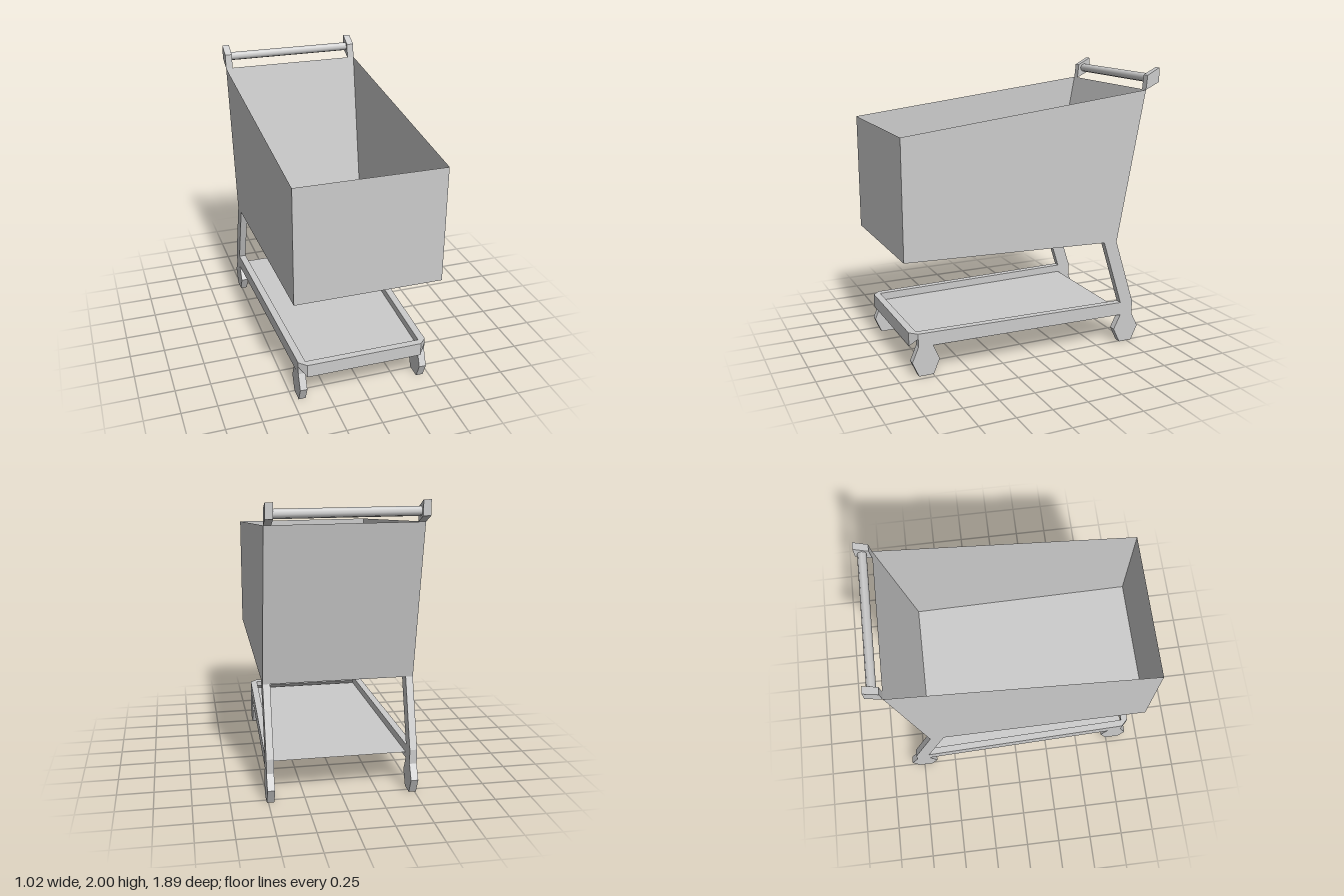
import * as THREE from 'three';

const flat = new THREE.MeshStandardMaterial({ color: 0xcccccc, flatShading: true });
const smooth = new THREE.MeshStandardMaterial({ color: 0xcccccc });
const sheet = new THREE.MeshStandardMaterial({ color: 0xcccccc, side: THREE.DoubleSide, flatShading: true });

const W = 0.51; // half width of the cart
const T = 0.05; // tube thickness

function add(group, name, geometry, material = flat) {
  const mesh = new THREE.Mesh(geometry, material);
  mesh.name = name;
  group.add(mesh);
  return mesh;
}

// Move every vertex of a geometry by a rule
function reshape(geo, rule) {
  const p = geo.attributes.position;
  const v = new THREE.Vector3();
  for (let i = 0; i < p.count; i++) {
    rule(v.fromBufferAttribute(p, i));
    p.setXYZ(i, v.x, v.y, v.z);
  }
  geo.computeVertexNormals();
  return geo;
}

// Extrude a side profile of [z, y] points from x0 to x0 + T
function sideProfile(points, x0) {
  const shape = new THREE.Shape(points.map(([z, y]) => new THREE.Vector2(-z, y)));
  return new THREE.ExtrudeGeometry(shape, { depth: T, bevelEnabled: false })
    .rotateY(Math.PI / 2).translate(x0, 0, 0);
}

// Open-topped basket of thin flat walls
function basketGeometry() {
  const side = [[0.95, 0.825], [0.95, 1.64], [-0.84, 1.85], [-0.64, 0.775]];
  const positions = [-W, W].flatMap(x => side.flatMap(([z, y]) => [x, y, z]));
  const geo = new THREE.BufferGeometry();
  geo.setAttribute('position', new THREE.Float32BufferAttribute(positions, 3));
  geo.setIndex([
    4, 7, 6, 4, 6, 5, // left wall
    0, 1, 2, 0, 2, 3, // right wall
    0, 4, 5, 0, 5, 1, // front wall
    7, 3, 2, 7, 2, 6, // back wall
    0, 3, 7, 0, 7, 4, // floor
  ]);
  const walls = geo.toNonIndexed();
  walls.computeVertexNormals();
  return walls;
}

export function createModel() {
  const cart = new THREE.Group();
  cart.name = 'shoppingCart';

  add(cart, 'basket', basketGeometry(), sheet);

  // Rear leg bends into the wheel; the front wheel hangs under the rail
  const rearLeg = [
    [-0.54, 0.778], [-0.69, 0.305], [-0.69, 0.205], [-0.64, 0.105], [-0.69, 0],
    [-0.79, 0], [-0.84, 0.105], [-0.79, 0.205], [-0.79, 0.305], [-0.64, 0.775],
  ];
  const frontWheel = [
    [0.85, 0.21], [0.895, 0.105], [0.85, 0], [0.745, 0], [0.70, 0.105], [0.745, 0.21],
  ];
  const bracket = [[-0.84, 1.85], [-0.85, 1.95], [-0.945, 2.0], [-0.945, 1.9]];

  for (const [label, s] of [['left', 1], ['right', -1]]) {
    const outer = s > 0 ? W - T : -W;
    const inner = s > 0 ? W - 2 * T : -W + T;
    add(cart, label + 'RearLeg', sideProfile(rearLeg, outer));
    add(cart, label + 'HandleBracket', sideProfile(bracket, outer));
    add(cart, label + 'FrontWheel', sideProfile(frontWheel, inner));
    // Rail spreads outward to meet the rear leg
    const rail = new THREE.BoxGeometry(T, 0.095, 1.54).translate(inner + T / 2, 0.2575, 0.08);
    add(cart, label + 'Rail', reshape(rail, v => { if (v.z < 0) v.x += s * T; }));
  }

  // Front bar with cut-back ends and a sloping underside
  const bar = new THREE.BoxGeometry(0.92, 0.095, T).translate(0, 0.2575, 0.875);
  add(cart, 'frontBar', reshape(bar, v => {
    if (v.z > 0.875) v.x = Math.sign(v.x) * 0.41;
    else if (v.y < 0.25) v.y = 0.27;
  }));

  // Thin lower tray, widening to the back between the rails
  const tray = new THREE.PlaneGeometry(0.82, 1.54).rotateX(-Math.PI / 2).translate(0, 0.25, 0.08);
  add(cart, 'tray', reshape(tray, v => { if (v.z < 0) v.x += Math.sign(v.x) * T; }), sheet);

  // Push handle
  const handle = add(cart, 'handle', new THREE.CylinderGeometry(0.031, 0.031, 0.92, 8), smooth);
  handle.rotation.z = Math.PI / 2;
  handle.position.set(0, 1.925, -0.897);

  return cart;
}
